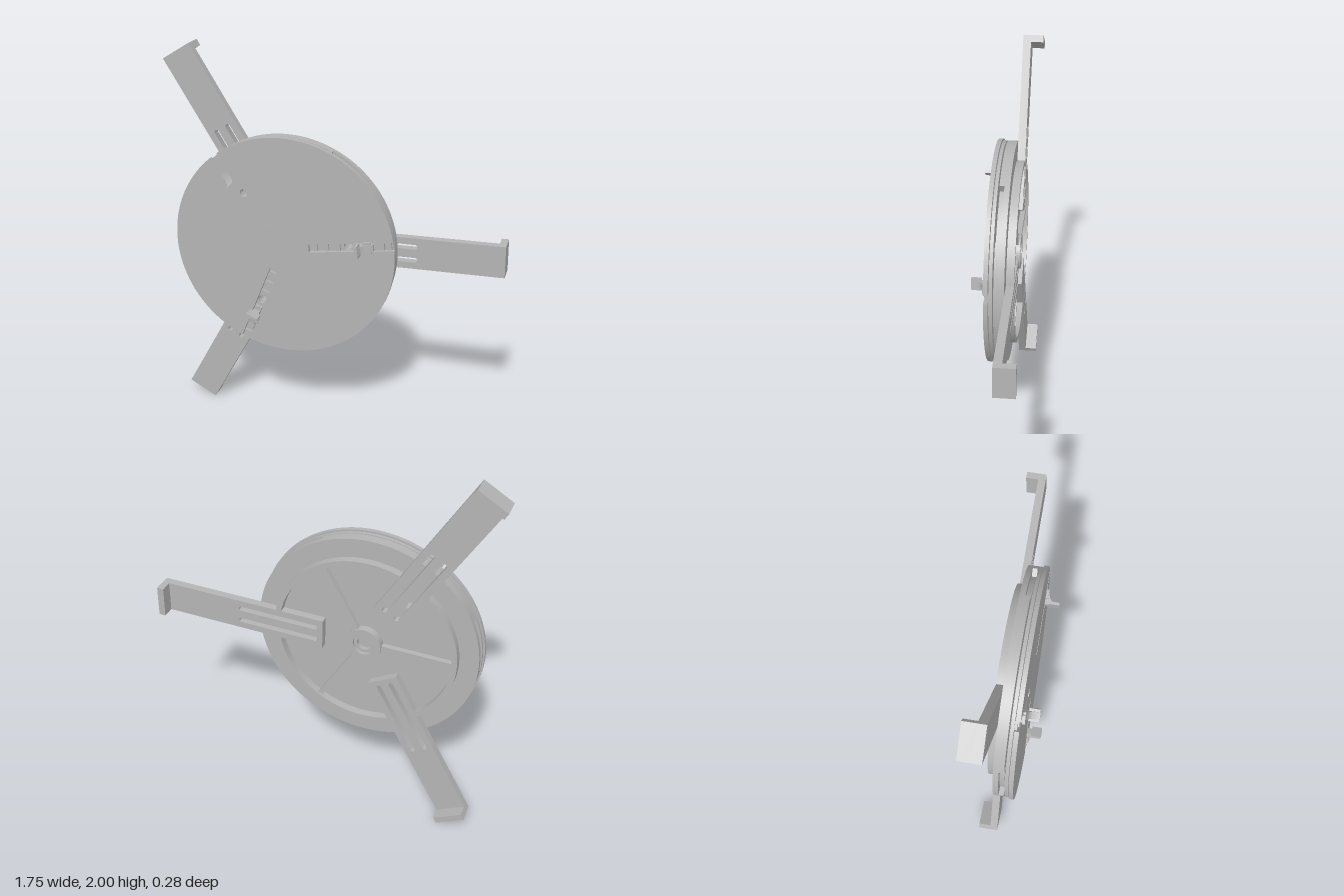
import * as THREE from 'three';
import { toCreasedNormals } from 'three/addons/utils/BufferGeometryUtils.js';

const TAU = Math.PI * 2;
const rad = THREE.MathUtils.degToRad;
const ARM = rad(1.3);   // direction of the first arm
const SLOT = rad(8);    // direction of the first jaw slot

export function createModel() {
  const grey = new THREE.MeshStandardMaterial({ color: 0xb4b4b4 });
  grey.name = 'grey';
  const root = new THREE.Group();
  root.name = 'threeArmChuck';
  root.position.set(-0.233, 1.015, 0);

  const add = (parent, name, geometry) => {
    const mesh = new THREE.Mesh(geometry, grey);
    mesh.name = name;
    parent.add(mesh);
    return mesh;
  };
  // Extrude a shape between two depths
  const slab = (shape, z0, z1) => {
    const g = new THREE.ExtrudeGeometry(shape, { depth: z1 - z0, bevelEnabled: false, curveSegments: 96 });
    g.translate(0, 0, z0);
    return toCreasedNormals(g, 0.5);
  };
  const disc = (r) => new THREE.Shape().absarc(0, 0, r, 0, TAU, false);
  const hole = (x, y, r) => new THREE.Path().absarc(x, y, r, 0, TAU, true);
  const sector = (r0, r1, a0, a1) => {
    const s = new THREE.Shape();
    s.absarc(0, 0, r1, a0, a1, false);
    s.absarc(0, 0, r0, a1, a0, true);
    s.closePath();
    return s;
  };
  const slotHole = (x0, x1, y, h) => {
    const p = new THREE.Path();
    p.absarc(x1, y, h, -Math.PI / 2, Math.PI / 2, false);
    p.absarc(x0, y, h, Math.PI / 2, Math.PI * 1.5, false);
    p.closePath();
    return p;
  };
  const drill = (shape) => {
    for (let k = 0; k < 3; k++) {
      const a = SLOT + k * TAU / 3;
      shape.holes.push(hole(0.34 * Math.cos(a), 0.34 * Math.sin(a), 0.022));
    }
    return shape;
  };

  // Front plate with three radial slots open at the rim
  const face = new THREE.Shape();
  const R = 0.58, half = 0.022, inner = 0.138, da = Math.asin(half / R);
  for (let k = 0; k < 3; k++) {
    const a = SLOT + k * TAU / 3, b = a + TAU / 3;
    const c = Math.cos(b), s = Math.sin(b);
    face.absarc(0, 0, R, a + da, b - da, false);
    face.lineTo(inner * c + half * s, inner * s - half * c);
    face.lineTo(inner * c - half * s, inner * s + half * c);
  }
  face.closePath();
  add(root, 'frontPlate', slab(face, 0.04, 0.062));

  // Scroll disc behind the front plate
  add(root, 'scrollDisc', slab(drill(disc(0.572)), 0.02, 0.037));

  // Body: back flange, and a front layer with recessed windows in its rim
  add(root, 'bodyFlange', slab(drill(disc(0.572)), -0.037, -0.01));
  const notched = new THREE.Shape();
  for (let k = 0; k < 3; k++) {
    const a = rad(36) + k * TAU / 3, b = rad(64.5) + k * TAU / 3;
    notched.absarc(0, 0, 0.53, a, b, false);
    notched.absarc(0, 0, 0.572, b, a + TAU / 3, false);
  }
  notched.closePath();
  add(root, 'bodyFrontLayer', slab(drill(notched), -0.01, 0.014));

  // Hub on the back
  const hub = disc(0.09);
  hub.holes.push(hole(0, 0, 0.055));
  add(root, 'hubRing', slab(hub, -0.075, -0.036));
  const bush = disc(0.056);
  bush.holes.push(hole(0, 0, 0.038));
  add(root, 'hubBush', slab(bush, -0.058, -0.036));

  // Arm plate with two long slots
  const plate = new THREE.Shape([[0.215, -0.082], [1.105, -0.082], [1.105, 0.082], [0.215, 0.082]]
    .map(([x, y]) => new THREE.Vector2(x, y)));
  for (const y of [-0.035, 0.035]) plate.holes.push(slotHole(0.255, 0.66, y, 0.0125));
  const armGeo = slab(plate, -0.077, -0.037);
  const hookGeo = new THREE.BoxGeometry(0.035, 0.164, 0.065);

  // Jaw side profile: upright wall with a curved foot
  const profile = new THREE.Shape();
  profile.moveTo(0.40, 0.05);
  profile.lineTo(0.40, 0.138);
  profile.lineTo(0.415, 0.138);
  profile.lineTo(0.417, 0.105);
  profile.quadraticCurveTo(0.422, 0.08, 0.478, 0.076);
  profile.lineTo(0.478, 0.05);
  profile.closePath();
  const jawGeo = slab(profile, -0.018, 0.018).rotateX(Math.PI / 2);

  for (let k = 0; k < 3; k++) {
    const turn = k * TAU / 3;

    const arm = new THREE.Group();
    arm.name = 'arm' + (k + 1);
    arm.rotation.z = ARM + turn;
    root.add(arm);
    add(arm, 'armPlate', armGeo);
    add(arm, 'armHook', hookGeo).position.set(1.0875, 0, -0.1075);

    // Raised rim and stiffening rib between neighbouring arms
    const a = ARM + turn, gap = 0.178;
    add(root, 'backRim', slab(sector(0.447, 0.475, a + gap, a + TAU / 3 - gap), -0.077, -0.036));
    const rib = new THREE.Group();
    rib.name = 'rib' + (k + 1);
    rib.rotation.z = a + TAU / 6;
    root.add(rib);
    add(rib, 'ribBar', new THREE.BoxGeometry(0.372, 0.024, 0.028)).position.set(0.266, 0, -0.05);

    // Jaw riding in the front slot
    const jaw = new THREE.Group();
    jaw.name = 'jaw' + (k + 1);
    jaw.rotation.z = SLOT + turn;
    root.add(jaw);
    add(jaw, 'jawFoot', jawGeo);
    add(jaw, 'jawWall', new THREE.BoxGeometry(0.014, 0.064, 0.052)).position.set(0.407, 0, 0.111);
    add(jaw, 'jawFlange', new THREE.BoxGeometry(0.04, 0.06, 0.012)).position.set(0.448, 0, 0.07);
    add(jaw, 'jawSlider', new THREE.BoxGeometry(0.15, 0.036, 0.018)).position.set(0.455, 0, 0.047);
    // Scroll ridges seen inside the slot
    for (const r of [0.17, 0.23, 0.29, 0.555]) {
      add(jaw, 'scrollRidge', new THREE.BoxGeometry(0.02, 0.042, 0.014)).position.set(r, 0, 0.043);
    }
  }

  const group = new THREE.Group();
  group.name = 'model';
  group.add(root);
  return group;
}
